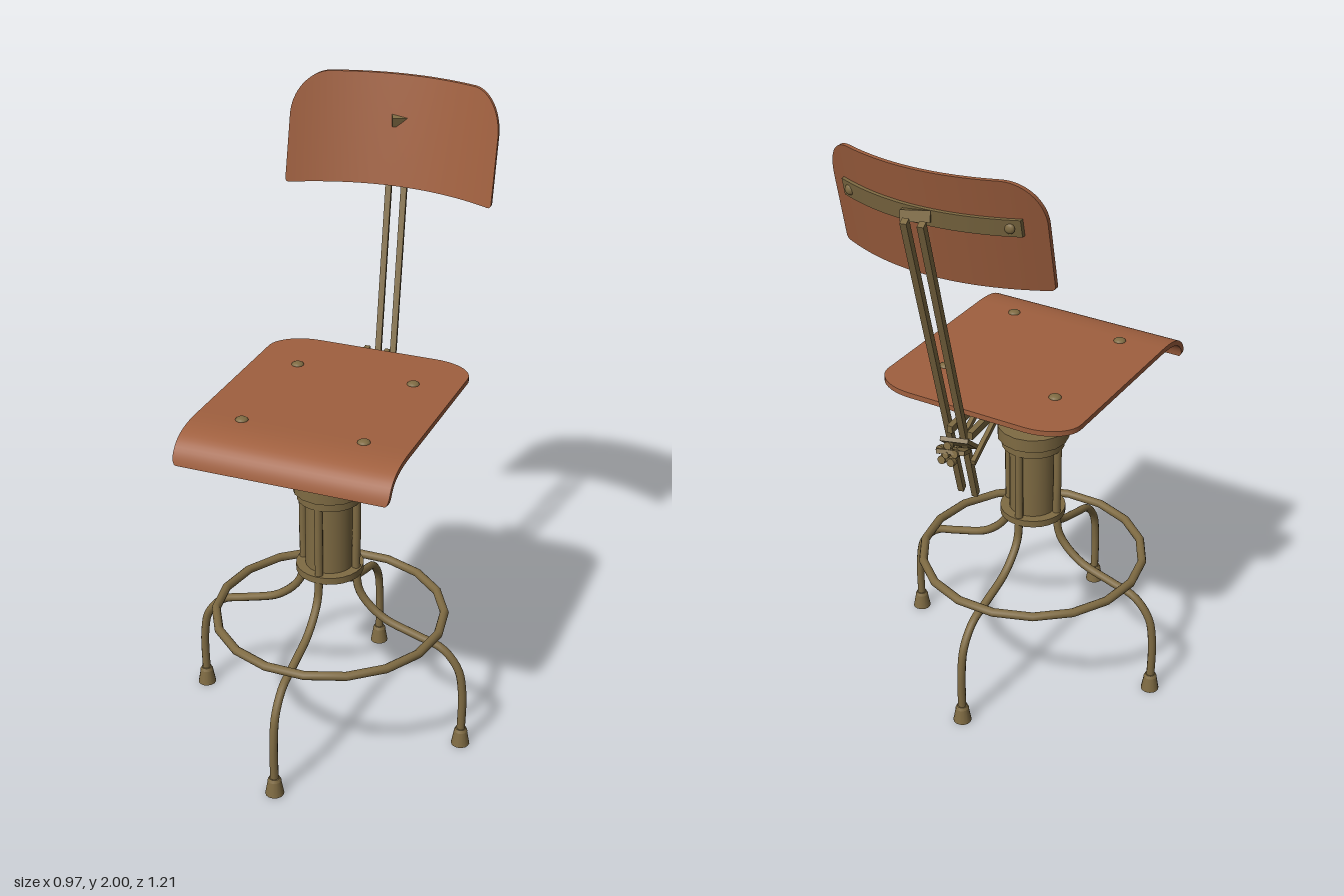
import * as THREE from 'three';

const wood = new THREE.MeshStandardMaterial({ color: 0xa0603f });
wood.name = 'wood';
const metal = new THREE.MeshStandardMaterial({ color: 0x7f6b43 });
metal.name = 'agedBrass';

const V = (x, y, z) => new THREE.Vector3(x, y, z);

function add(parent, name, geometry, material, x = 0, y = 0, z = 0) {
  const mesh = new THREE.Mesh(geometry, material);
  mesh.name = name;
  mesh.position.set(x, y, z);
  parent.add(mesh);
  return mesh;
}

// Upright cylinder between two heights
function drum(parent, name, rTop, rBottom, y0, y1, sides = 24, x = 0, z = 0) {
  return add(parent, name, new THREE.CylinderGeometry(rTop, rBottom, y1 - y0, sides), metal, x, (y0 + y1) / 2, z);
}

// Rectangular bar from a to b
function bar(parent, name, a, b, width, depth) {
  const mid = a.clone().lerp(b, 0.5);
  const mesh = add(parent, name, new THREE.BoxGeometry(width, depth, a.distanceTo(b)), metal, mid.x, mid.y, mid.z);
  mesh.lookAt(b);
  return mesh;
}

// Bent sheet: rule(u, t, d) places width u (-1..1), length t (0..1), thickness d (-.5...5)
function sheet(nx, ny, rule) {
  const g = new THREE.BoxGeometry(2, 1, 1, nx, ny, 1);
  const p = g.attributes.position;
  for (let i = 0; i < p.count; i++) {
    const t = (1 - Math.cos(Math.PI * (p.getY(i) + 0.5))) / 2;
    p.setXYZ(i, ...rule(p.getX(i), t, p.getZ(i)));
  }
  g.computeVertexNormals();
  return g;
}

// Width lost at distance d from an end with an elliptical corner
const corner = (d, rx, ry) => (d >= ry ? 0 : rx * (1 - Math.sqrt(Math.max(0, 1 - (1 - d / ry) ** 2))));

// Height-to-depth line of the sloping uprights, and the backrest's curve
const slope = (y) => -0.405 - 0.207 * (y - 0.79);
const backZ = (x, y) => -0.565 - 0.22 * (y - 1.66) + (x * x) / 1.28;

function buildBase(root) {
  const base = new THREE.Group();
  base.name = 'base';
  root.add(base);

  // Four bent legs running up the column, with rubber-style feet
  const path = new THREE.CatmullRomCurve3([
    V(0.091, 0.83, 0), V(0.091, 0.7, 0), V(0.091, 0.57, 0), V(0.105, 0.495, 0), V(0.18, 0.42, 0),
    V(0.3, 0.378, 0), V(0.385, 0.35, 0), V(0.44, 0.285, 0), V(0.457, 0.2, 0), V(0.457, 0.03, 0),
  ]);
  const legGeo = new THREE.TubeGeometry(path, 48, 0.0135, 10);
  for (let i = 0; i < 4; i++) {
    const leg = new THREE.Group();
    leg.name = 'leg';
    leg.rotation.y = (i * Math.PI) / 2;
    add(leg, 'legTube', legGeo, metal);
    drum(leg, 'foot', 0.021, 0.03, 0, 0.05, 14, 0.457);
    drum(leg, 'footCollar', 0.017, 0.022, 0.05, 0.06, 14, 0.457);
    base.add(leg);
  }

  // Foot ring
  const ring = add(base, 'footRing', new THREE.TorusGeometry(0.37, 0.0145, 10, 18), metal, 0, 0.4, 0);
  ring.rotation.x = Math.PI / 2;

  // Column, collars and lifting stem
  drum(base, 'column', 0.078, 0.078, 0.575, 0.84);
  drum(base, 'lowerFlange', 0.108, 0.108, 0.565, 0.588);
  drum(base, 'upperFlange', 0.103, 0.103, 0.825, 0.852);
  drum(base, 'topCollar', 0.117, 0.117, 0.856, 0.9, 16);
  drum(base, 'stemCollar', 0.057, 0.057, 0.9, 0.945, 16);
  drum(base, 'stem', 0.036, 0.036, 0.94, 1.13, 16);
}

function buildSeat(root) {
  const seat = new THREE.Group();
  seat.name = 'seat';
  root.add(seat);

  // Side profile (z, y) from the rolled front lip to the back
  const P = (z, y) => new THREE.Vector2(z, y);
  const profile = new THREE.CurvePath();
  profile.add(new THREE.CubicBezierCurve(P(0.383, 1.06), P(0.372, 1.12), P(0.33, 1.145), P(0.22, 1.145)));
  profile.add(new THREE.LineCurve(P(0.22, 1.145), P(-0.41, 1.145)));
  const length = profile.getLength();
  const panel = sheet(12, 56, (u, t, d) => {
    const p = profile.getPoint(t);
    const n = profile.getTangent(t);
    const s = t * length;
    const half = 0.34 - corner(length - s, 0.14, 0.1) - corner(s, 0.012, 0.03);
    return [u * half, p.y - n.x * d * 0.017, p.x + n.y * d * 0.017];
  });
  add(seat, 'seatPanel', panel, wood);

  // Domed bolts
  const dome = new THREE.SphereGeometry(0.02, 14, 6, 0, Math.PI * 2, 0, Math.PI / 2);
  dome.scale(1, 0.5, 1);
  for (const x of [-0.195, 0.195]) {
    for (const z of [-0.21, 0.21]) add(seat, 'seatBolt', dome, metal, x, 1.153, z);
  }

  // Support rails and diagonal braces
  for (const x of [-0.035, 0.035]) {
    bar(seat, 'seatRail', V(x, 1.117, 0.23), V(x, 1.117, -0.48), 0.018, 0.024);
    bar(seat, 'diagonalBrace', V(x, 1.108, -0.22), V(x, 0.985, -0.445), 0.014, 0.018);
  }
  add(seat, 'mountPlate', new THREE.BoxGeometry(0.09, 0.014, 0.1), metal, 0, 1.125, 0);
}

function buildBack(root) {
  const back = new THREE.Group();
  back.name = 'back';
  root.add(back);

  // Curved backrest panel
  const panel = sheet(28, 40, (u, t, d) => {
    const y = 1.66 + 0.34 * t;
    const half = 0.343 - corner(2 - y, 0.105, 0.13) - corner(y - 1.66, 0.012, 0.012);
    return [u * half, y, backZ(u * half, y) + d * 0.014];
  });
  add(back, 'backrestPanel', panel, wood);

  // Strap following the panel's rear face
  const strap = sheet(24, 1, (u, t, d) => {
    const x = u * 0.285, y = 1.836 + 0.052 * t;
    return [x, y, backZ(x, y) - 0.013 + d * 0.013];
  });
  add(back, 'backStrap', strap, metal);
  for (const x of [-0.255, 0.255]) {
    const bolt = add(back, 'strapBolt', new THREE.SphereGeometry(0.016, 12, 8), metal, x, 1.862, backZ(x, 1.862) - 0.018);
    bolt.scale.z = 0.6;
  }

  // Twin uprights
  for (const x of [-0.026, 0.026]) {
    bar(back, 'upright', V(x, 0.79, slope(0.79)), V(x, 1.9, slope(1.9)), 0.019, 0.023);
  }
  bar(back, 'strapClip', V(0, 1.835, slope(1.835) - 0.004), V(0, 1.893, slope(1.893) - 0.004), 0.082, 0.032);

  // Clamp around the uprights, with its tightening knob
  bar(back, 'clampFront', V(0, 0.98, slope(0.98) + 0.018), V(0, 1.13, slope(1.13) + 0.018), 0.085, 0.014);
  bar(back, 'clampRear', V(0, 1.0, slope(1) - 0.018), V(0, 1.09, slope(1.09) - 0.018), 0.085, 0.014);
  const knob = new THREE.Group();
  knob.name = 'clampKnob';
  knob.position.set(0, 1.045, slope(1.045) - 0.02);
  knob.rotation.x = -Math.PI / 2 + 0.204;
  drum(knob, 'knobShaft', 0.011, 0.011, -0.01, 0.045, 12);
  drum(knob, 'knobHub', 0.024, 0.016, 0.015, 0.032, 12);
  for (let i = 0; i < 5; i++) {
    const a = (i * Math.PI * 2) / 5;
    drum(knob, 'knobLobe', 0.013, 0.013, 0.022, 0.038, 10, 0.027 * Math.sin(a), 0.027 * Math.cos(a));
  }
  back.add(knob);
}

export function createModel() {
  const model = new THREE.Group();
  model.name = 'swivelChair';
  const chair = new THREE.Group();
  chair.name = 'chair';
  chair.position.set(-0.003, 0, 0.08);
  chair.rotation.y = -0.06;
  model.add(chair);
  buildBase(chair);
  buildSeat(chair);
  buildBack(chair);
  return model;
}
